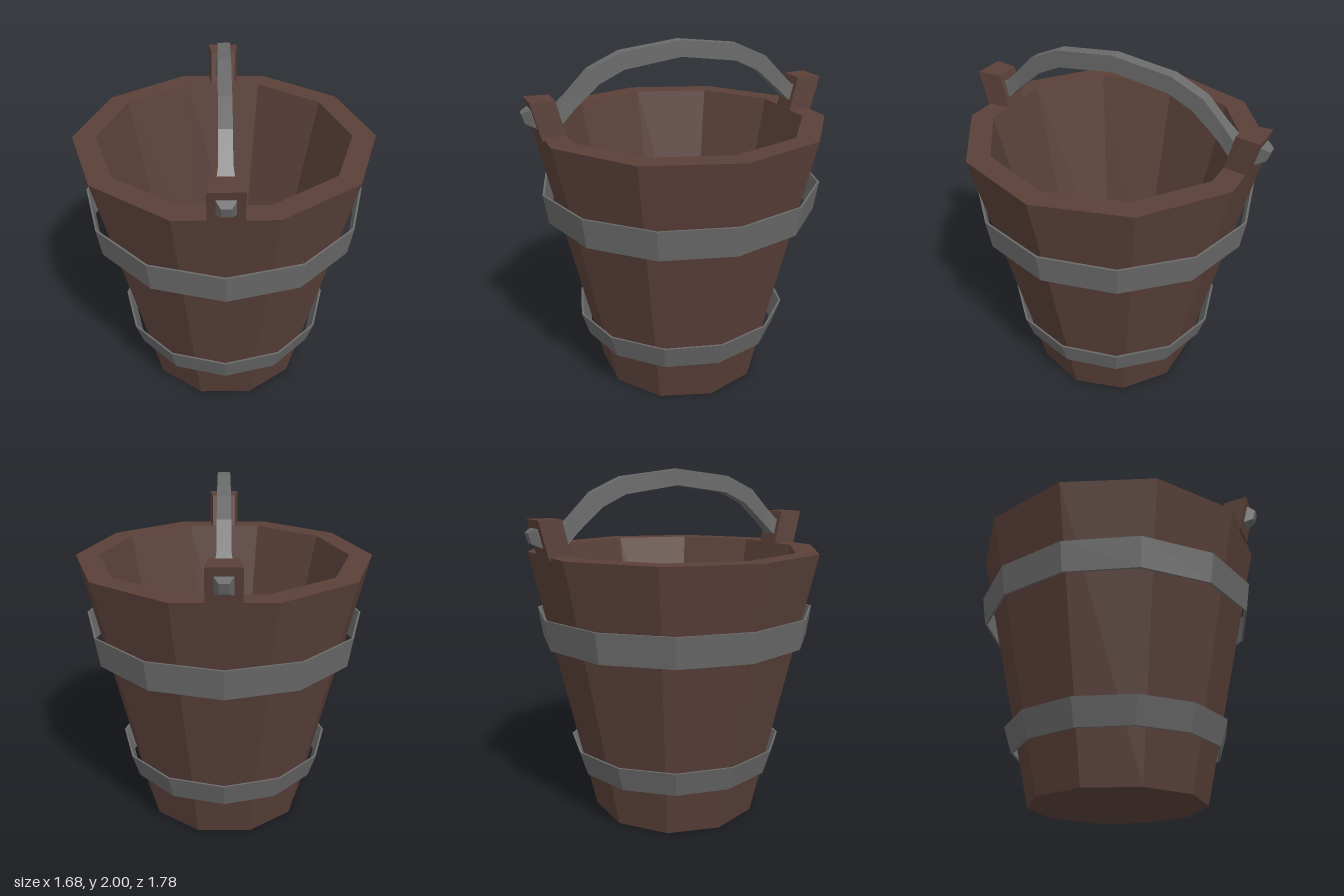
import * as THREE from 'three';

const wood = new THREE.MeshStandardMaterial({ color: 0x5a4039, flatShading: true });
const iron = new THREE.MeshStandardMaterial({ color: 0x6a6a6b, flatShading: true });

function named(geometry, material, name) {
  const mesh = new THREE.Mesh(geometry, material);
  mesh.name = name;
  return mesh;
}

// Faceted ring or vessel from a profile of [radius, y]
function turned(profile, sides, phi) {
  return new THREE.LatheGeometry(profile.map(([r, y]) => new THREE.Vector2(r, y)), sides, phi);
}

// Four-sided bar through stations running from +z to -z:
// [upper z, upper y, lower z, lower y, half width]
function loft(stations) {
  const rings = stations.map(([zu, yu, zl, yl, w]) => [[-w, yu, zu], [w, yu, zu], [w, yl, zl], [-w, yl, zl]]);
  const pos = [];
  const quad = (a, b, c, d) => pos.push(...a, ...b, ...c, ...a, ...c, ...d);
  for (let i = 0; i < rings.length - 1; i++) {
    const r = rings[i], s = rings[i + 1];
    for (let k = 0; k < 4; k++) {
      const n = (k + 1) % 4;
      quad(r[k], r[n], s[n], s[k]);
    }
  }
  const first = rings[0], last = rings[rings.length - 1];
  quad(first[3], first[2], first[1], first[0]);
  quad(...last);
  const geometry = new THREE.BufferGeometry();
  geometry.setAttribute('position', new THREE.Float32BufferAttribute(pos, 3));
  geometry.computeVertexNormals();
  return geometry;
}

export function createModel() {
  const model = new THREE.Group();
  model.name = 'bucket';

  // Ten-sided tapered tub with a raised floor
  const tub = [[0, 0], [0.49, 0], [0.84, 1.555], [0.71, 1.555], [0.41, 0.2], [0, 0.2]];
  model.add(named(turned(tub, 10, Math.PI / 2), wood, 'tub'));

  // Twelve-sided iron hoops
  const hoops = [
    ['lowerHoop', 0.275, 0.42, 0.58, 0.625],
    ['upperHoop', 1.04, 1.21, 0.775, 0.8],
  ];
  for (const [name, y0, y1, r0, r1] of hoops) {
    const t = 0.012;
    const profile = [[r0, y0], [r1, y1], [r1 - t, y1], [r0 - t, y0], [r0, y0]];
    const hoop = named(turned(profile, 12, 0), iron, name);
    hoop.scale.z = 1.013;
    model.add(hoop);
  }

  // Wooden ears that hold the handle, front and back
  const ear = loft([
    [0.855, 1.745, 0.805, 1.54, 0.09],
    [0.72, 1.745, 0.672, 1.54, 0.073],
  ]);
  for (const [name, turn] of [['frontEar', 0], ['backEar', Math.PI]]) {
    const mesh = named(ear, wood, name);
    mesh.rotation.y = turn;
    model.add(mesh);
  }

  // Iron handle: blunt pin, passage through the ear, then half the arch
  const half = [
    [0.89, 1.68, 0.873, 1.625, 0.025],
    [0.852, 1.7, 0.822, 1.6, 0.048],
    [0.7, 1.7, 0.68, 1.61, 0.046],
    [0.64, 1.76, 0.62, 1.67, 0.035],
    [0.52, 1.88, 0.47, 1.8, 0.035],
    [0.34, 1.96, 0.33, 1.865, 0.035],
  ];
  const mirrored = half.map(([zu, yu, zl, yl, w]) => [-zu, yu, -zl, yl, w]).reverse();
  model.add(named(loft([...half, [0, 2, 0, 1.91, 0.035], ...mirrored]), iron, 'handle'));

  return model;
}
